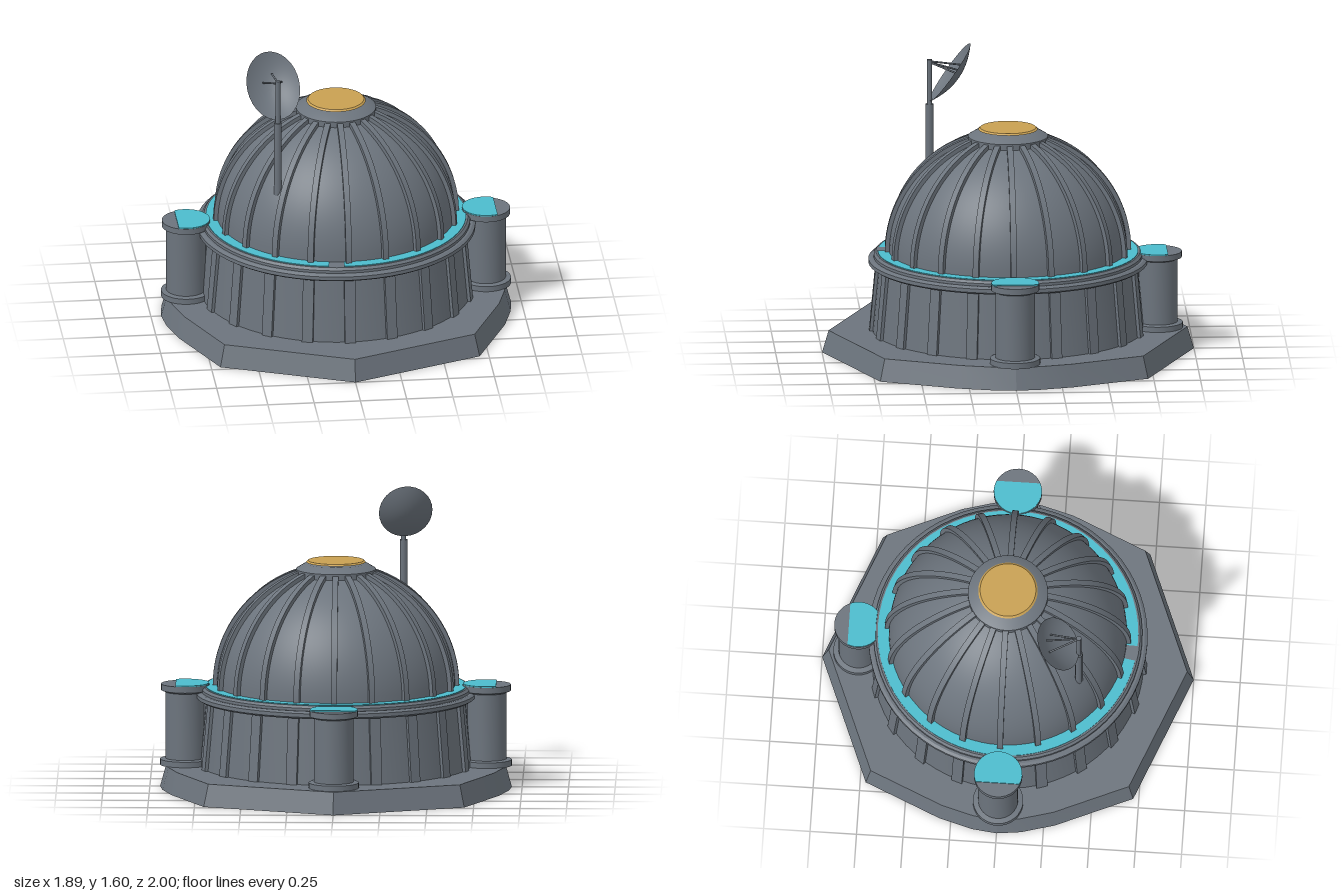
import * as THREE from 'three';
import { toCreasedNormals } from 'three/addons/utils/BufferGeometryUtils.js';

export function createModel() {
  const model = new THREE.Group();
  const mat = (name, color, side = THREE.FrontSide) => {
    const m = new THREE.MeshStandardMaterial({ color, side });
    m.name = name;
    return m;
  };
  const grey = mat('steel grey', 0x6c747d, THREE.DoubleSide);
  const cyan = mat('cyan light', 0x4cbccd);
  const amber = mat('amber glass', 0xc8a052);

  const add = (name, geometry, material, parent = model) => {
    const mesh = new THREE.Mesh(geometry, material);
    mesh.name = name;
    parent.add(mesh);
    return mesh;
  };
  const lathe = (pts, segments = 64, start = 0, length = Math.PI * 2) =>
    toCreasedNormals(new THREE.LatheGeometry(pts.map(p => new THREE.Vector2(...p)), segments, start, length), 0.5);
  const rod = (name, a, b, r, parent = model) => {
    const from = new THREE.Vector3(...a), to = new THREE.Vector3(...b);
    const dir = to.clone().sub(from);
    const mesh = add(name, new THREE.CylinderGeometry(r, r, dir.length(), 10), grey, parent);
    mesh.position.copy(from).addScaledVector(dir, 0.5);
    mesh.quaternion.setFromUnitVectors(new THREE.Vector3(0, 1, 0), dir.normalize());
    return mesh;
  };

  // Eight-sided plinth with bowed flanks and sloping sides
  const quarter = [[0, 1], [0.7, 0.72], [0.88, 0.31], [0.93, 0.13]];
  const right = [...quarter, [0.945, 0], ...quarter.slice(1).reverse().map(([x, z]) => [x, -z])];
  const outline = [...right, [0, -1], ...right.slice(1).reverse().map(([x, z]) => [-x, z])];
  let plinth = new THREE.ExtrudeGeometry(new THREE.Shape(outline.map(p => new THREE.Vector2(...p))),
    { depth: 0.12, bevelEnabled: false });
  plinth.rotateX(-Math.PI / 2);
  const pos = plinth.attributes.position;
  for (let i = 0; i < pos.count; i++) {
    if (pos.getY(i) > 0.06) pos.setXYZ(i, pos.getX(i) * 0.965, pos.getY(i), pos.getZ(i) * 0.965);
  }
  plinth.computeVertexNormals();
  add('plinth', toCreasedNormals(plinth, 0.2), grey);

  // Drum wall, stepped cornice and glowing strip
  add('drumWall', lathe([[0.73, 0.12], [0.695, 0.5]]), grey);
  add('cornice', lathe([[0.69, 0.475], [0.735, 0.48], [0.75, 0.49], [0.75, 0.51], [0.735, 0.52],
    [0.722, 0.52], [0.722, 0.535], [0.71, 0.548], [0.6, 0.548]]), grey);
  add('lightStrip', lathe([[0.7, 0.543], [0.7, 0.552], [0.64, 0.552]], 64, -0.04, Math.PI * 2 - 0.12), cyan);

  // Dome shell
  const R = 0.64, baseY = 0.55;
  const shell = [];
  for (let i = 0; i <= 24; i++) {
    const a = (i / 24) * 1.35;
    shell.push([R * Math.cos(a), baseY + R * Math.sin(a)]);
  }
  add('domeShell', lathe(shell, 80), grey);

  // Dome ribs and matching wall pilasters
  const ribShape = new THREE.Shape();
  ribShape.absarc(0, 0, 0.662, 0, 1.27, false);
  ribShape.absarc(0, 0, 0.62, 1.27, 0, true);
  const ribGeo = toCreasedNormals(new THREE.ExtrudeGeometry(ribShape,
    { depth: 0.032, bevelEnabled: false, curveSegments: 20 }).translate(0, baseY, -0.016), 0.5);
  const pilasterGeo = new THREE.BoxGeometry(0.025, 0.385, 0.06);
  pilasterGeo.rotateZ(0.092).translate(0.716, 0.31, 0);
  for (let i = 0; i < 20; i++) {
    const a = (i / 20) * Math.PI * 2;
    add('domeRib', ribGeo, grey).rotation.y = a;
    add('wallPilaster', pilasterGeo, grey).rotation.y = a;
  }

  // Crown and its skylight
  add('crown', lathe([[0.215, 1.14], [0.215, 1.185], [0.165, 1.215], [0, 1.222]], 48), grey);
  add('skylight', new THREE.CylinderGeometry(0.15, 0.16, 0.009, 40).translate(0, 1.226, 0), amber);

  // Three side towers; each has its outer side on local +x
  const litShape = new THREE.Shape();
  litShape.absarc(0, 0, 0.128, 1.16, Math.PI * 2 - 1.16, false);
  const litGeo = new THREE.ExtrudeGeometry(litShape, { depth: 0.007, bevelEnabled: false, curveSegments: 32 });
  litGeo.rotateX(-Math.PI / 2);
  const towerGeo = lathe([[0, 0.118], [0.135, 0.118], [0.135, 0.15], [0.107, 0.155], [0.107, 0.515],
    [0.13, 0.525], [0.13, 0.558], [0, 0.558]], 32);
  const tower = (name, x, z, turn, lower) => {
    const g = new THREE.Group();
    g.name = name;
    add('towerBody', towerGeo, grey, g);
    add('towerLight', litGeo, cyan, g).position.y = 0.557;
    g.position.set(x, 0, z);
    g.rotation.y = turn;
    if (lower) {
      g.scale.y = 0.96;
      g.position.y = 0.005;
    }
    model.add(g);
  };
  tower('leftTower', 0.81, 0, 0, false);
  tower('rightTower', -0.81, 0, Math.PI, false);
  tower('backTower', 0, -0.805, Math.PI / 2, true);

  // Mast and dish antenna
  const antenna = new THREE.Group();
  antenna.name = 'antenna';
  model.add(antenna);
  const mx = -0.357, mz = 0.405;
  rod('mastLower', [mx, 0.8, mz], [mx, 1.28, mz], 0.021, antenna);
  rod('mastUpper', [mx, 1.27, mz], [mx, 1.525, mz], 0.014, antenna);
  const bowl = [];
  for (let i = 0; i <= 10; i++) {
    const t = i / 10;
    bowl.push([0.19 * t, -0.055 * (1 - t * t)]);
  }
  const dishGeo = lathe(bowl, 32);
  dishGeo.scale(0.75, 1, 1).rotateY(0.15).rotateX(0.94);
  add('dish', dishGeo, grey, antenna).position.set(-0.37, 1.45, 0.295);
  for (const dx of [-0.05, 0.05]) {
    rod('feedStrut', [mx, 1.51, mz], [-0.37 + dx, 1.45, 0.25], 0.005, antenna);
  }
  rod('feedStrut', [mx, 1.515, mz], [-0.37, 1.49, 0.23], 0.005, antenna);

  return model;
}
